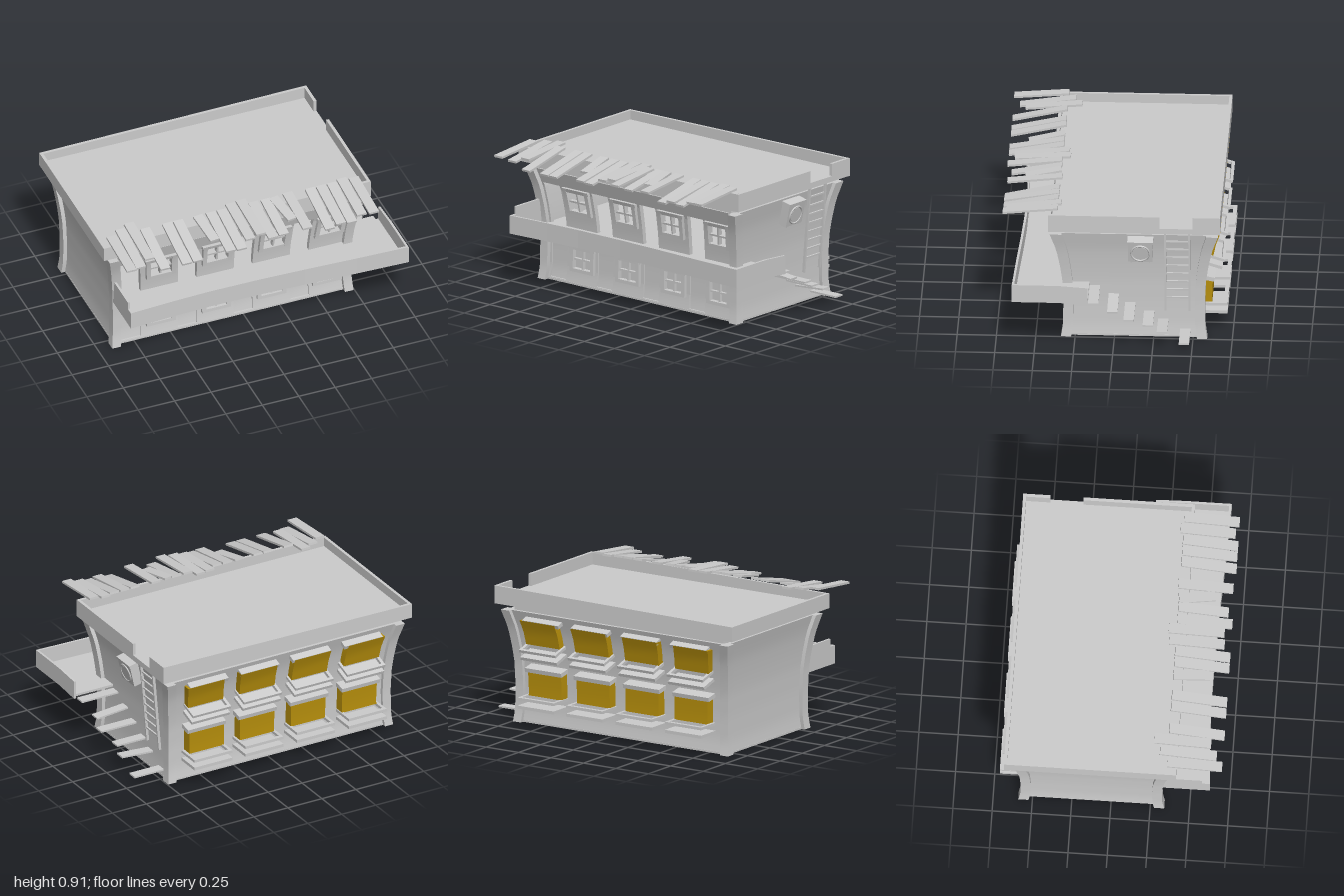
import * as THREE from 'three';
import { mergeGeometries } from 'three/addons/utils/BufferGeometryUtils.js';

const grey = new THREE.MeshStandardMaterial({ color: 0xcccccc, side: THREE.DoubleSide });
const yellow = new THREE.MeshStandardMaterial({ color: 0xb8900c });

// Outward flare of the walls at a given height
const FLARE = [[0, 0], [0.08, -0.013], [0.25, -0.015], [0.4, -0.008], [0.5, 0.006], [0.62, 0.029], [0.74, 0.07]];
function flare(y) {
  for (let i = 1; i < FLARE.length; i++) {
    const [y0, a] = FLARE[i - 1], [y1, b] = FLARE[i];
    if (y <= y1) return a + (b - a) * Math.max(0, (y - y0) / (y1 - y0));
  }
  return 0.07;
}
const CX = -0.0825, CZ = -0.125;

// Box given by its limits
function span(x0, x1, y0, y1, z0, z1, rows = 1) {
  return new THREE.BoxGeometry(x1 - x0, y1 - y0, z1 - z0, 1, rows, 1)
    .translate((x0 + x1) / 2, (y0 + y1) / 2, (z0 + z1) / 2);
}
// Box that follows the flared walls
function bent(x0, x1, y0, y1, z0, z1) {
  const g = span(x0, x1, y0, y1, z0, z1, Math.max(1, Math.ceil((y1 - y0) / 0.05)));
  const p = g.attributes.position;
  for (let i = 0; i < p.count; i++) {
    const f = flare(p.getY(i));
    p.setX(i, CX + (p.getX(i) - CX) * (1 + 0.65 * f / 0.8275));
    p.setZ(i, CZ + (p.getZ(i) - CZ) * (1 + f / 0.465));
  }
  g.computeVertexNormals();
  return g;
}
// Flat outline in x,z raised from y by h
function slab(points, y, h) {
  const s = new THREE.Shape(points.map(([x, z]) => new THREE.Vector2(x, -z)));
  return new THREE.ExtrudeGeometry(s, { depth: h, bevelEnabled: false }).rotateX(-Math.PI / 2).translate(0, y, 0);
}
// Outline in z,y given a thickness from x to x + t
function sidePanel(points, x, t) {
  const s = new THREE.Shape(points.map(([z, y]) => new THREE.Vector2(-z, y)));
  return new THREE.ExtrudeGeometry(s, { depth: t, bevelEnabled: false }).rotateY(Math.PI / 2).translate(x, 0, 0);
}

export function createModel() {
  const model = new THREE.Group();
  const add = (name, geos, mat = grey) => {
    const m = new THREE.Mesh(Array.isArray(geos) ? mergeGeometries(geos) : geos, mat);
    m.name = name;
    model.add(m);
    return m;
  };
  const L = -0.885, R = 0.72, F = 0.31, B = -0.565, T = 0.03;
  const doors = [-0.77, -0.383, 0.003, 0.39];
  const windows = [-0.57, -0.187, 0.197, 0.58];

  // Side and back walls, corner pillars, floors, neck
  add('sideWalls', [bent(L, L + T, 0, 0.74, B, F), bent(R - T, R, 0, 0.74, B, F)]);
  add('backWall', bent(L, R, 0, 0.74, B, B + T));
  const pillars = [];
  for (const x of [-0.91, 0.685]) for (const z of [-0.59, 0.275])
    pillars.push(bent(x, x + 0.06, 0, 0.74, z, z + 0.065));
  add('cornerPillars', pillars);
  add('floors', [span(L, R, 0, 0.012, B, F), span(-0.87, 0.7, 0.36, 0.375, -0.54, 0.29)]);
  add('neck', span(-0.89, 0.72, 0.735, 0.785, -0.61, 0.365));

  // Front wall in bands, leaving out door and window openings
  const wall = [];
  const band = (y0, y1, holes) => {
    let x = L;
    for (const [c, w] of [...holes, [R, 0]].sort((a, b) => a[0] - b[0])) {
      wall.push(bent(x, c - w / 2, y0, y1, F - T, F));
      x = c + w / 2;
    }
  };
  const d = doors.map(c => [c, 0.13]), w = windows.map(c => [c, 0.16]);
  band(0, 0.02, []);
  band(0.02, 0.11, d);
  band(0.11, 0.24, [...d, ...w]);
  band(0.24, 0.28, d);
  band(0.28, 0.375, []);
  band(0.375, 0.495, d);
  band(0.495, 0.62, [...d, ...w]);
  band(0.62, 0.645, d);
  band(0.645, 0.74, []);
  add('frontWall', wall);

  // Lower doors and window panes
  add('lowerDoors', doors.map(c => bent(c - 0.068, c + 0.068, 0.015, 0.283, F - 0.025, F - 0.01)));
  add('lowerPanes', windows.map(c => bent(c - 0.085, c + 0.085, 0.1, 0.25, F - 0.025, F - 0.012)));

  // Window frames with crossbars
  const frames = [];
  for (const c of windows) for (const y of [0.09, 0.475]) {
    const z0 = F - 0.02, z1 = F + 0.022;
    frames.push(
      bent(c - 0.1, c - 0.072, y, y + 0.17, z0, z1), bent(c + 0.072, c + 0.1, y, y + 0.17, z0, z1),
      bent(c - 0.1, c + 0.1, y, y + 0.022, z0, z1), bent(c - 0.105, c + 0.105, y + 0.146, y + 0.17, z0, z1),
      bent(c - 0.006, c + 0.006, y, y + 0.17, z0, z1 - 0.012), bent(c - 0.08, c + 0.08, y + 0.076, y + 0.088, z0, z1 - 0.012));
  }
  add('windowFrames', frames);

  // Balcony: floor, bowed front rail, end rails
  const edge = [[-0.9, 0.63], [-0.6, 0.612], [-0.35, 0.603], [0, 0.605], [0.3, 0.615], [0.65, 0.63], [1, 0.642]];
  add('balconyFloor', slab([[-0.9, 0.3], ...edge, [1, 0.16], [0.71, 0.16], [0.71, 0.3]], 0.36, 0.015));
  add('balconyFrontRail', slab([...edge, ...edge.map(([x, z]) => [x, z - 0.015]).reverse()], 0.36, 0.12));
  add('balconyRightRail', sidePanel([[0.3, 0.36], [0.58, 0.36], [0.58, 0.53], [0.34, 0.53], [0.3, 0.53]], -0.9, 0.015));
  add('balconyLeftRail', sidePanel([[0.16, 0.345], [0.345, 0.36], [0.64, 0.36], [0.64, 0.48], [0.345, 0.48], [0.16, 0.467]], 0.985, 0.015));
  add('balconyRightEnd', span(-0.9, -0.885, 0.36, 0.48, 0.3, 0.63));

  // Roof deck and parapet, with a gap for the ladder
  const roofY = 0.815;
  const roof = [span(-1, 0.83, 0.778, roofY, -0.675, 0.42),
    span(-1, 0.83, roofY, 0.895, 0.4, 0.42), span(-1, 0.83, roofY, 0.895, -0.675, -0.655),
    span(-1, -0.98, roofY, 0.895, -0.655, 0.4),
    span(0.81, 0.83, roofY, 0.895, -0.29, 0.4), span(0.81, 0.83, roofY, 0.895, -0.655, -0.5)];
  for (const g of roof) { // parapet sinks a little towards the right
    const p = g.attributes.position;
    for (let i = 0; i < p.count; i++) if (p.getX(i) < -0.9 && p.getY(i) > 0.85) p.setY(i, 0.875);
  }
  add('roof', roof);

  // Awning planks: x, back z, front z, front height
  const planks = [[-0.925, 0.36, 0.71, 0.88], [-0.845, 0.31, 0.67, 0.855], [-0.77, 0.27, 0.63, 0.875], [-0.695, 0.36, 0.71, 0.83],
    [-0.545, 0.36, 0.71, 0.83], [-0.47, 0.36, 0.71, 0.83], [-0.32, 0.36, 0.59, 0.865], [-0.245, 0.36, 0.71, 0.845],
    [-0.17, 0.36, 0.71, 0.84], [-0.095, 0.32, 0.67, 0.87], [-0.02, 0.31, 0.665, 0.885], [0.045, 0.36, 0.71, 0.87],
    [0.13, 0.36, 0.68, 0.85], [0.205, 0.36, 0.59, 0.88], [0.285, 0.35, 0.7, 0.87], [0.435, 0.36, 0.71, 0.83],
    [0.51, 0.36, 0.71, 0.85], [0.585, 0.36, 0.71, 0.84], [0.66, 0.34, 0.69, 0.865], [0.735, 0.36, 0.71, 0.875]];
  add('awningPlanks', planks.map(([x, z0, z1, y]) => {
    const drop = 0.908 - y;
    return new THREE.BoxGeometry(0.066, 0.014, Math.hypot(z1 - z0, drop))
      .rotateX(Math.atan2(drop, z1 - z0))
      .rotateY(z1 < 0.6 ? (x < 0 ? 0.12 : 0.18) : 0)
      .translate(x, (0.908 + y) / 2, (z0 + z1) / 2);
  }));

  // Back blinds with hoods, ledges and rails
  const blinds = [], hoods = [], ledges = [];
  for (const c of [-0.65, -0.27, 0.11, 0.485]) {
    blinds.push(bent(c - 0.128, c + 0.128, 0.53, 0.69, -0.612, -0.51), bent(c - 0.128, c + 0.128, 0.195, 0.355, -0.632, B));
    hoods.push(new THREE.BoxGeometry(0.28, 0.025, 0.08).rotateX(-0.35).translate(c, 0.695, -0.625),
      new THREE.BoxGeometry(0.28, 0.028, 0.09).rotateX(-0.2).translate(c, 0.37, -0.587));
    for (const [tilt, y, z] of [[0, 0.135, -0.55], [-0.3, 0.485, -0.555]]) {
      const set = [span(-0.14, 0.14, -0.01, 0.01, -0.165, 0), span(-0.14, 0.14, 0.045, 0.063, -0.165, -0.14),
        span(-0.14, -0.12, 0.045, 0.063, -0.15, 0), span(0.12, 0.14, 0.045, 0.063, -0.15, 0)];
      const k = tilt ? 0.8 : 1;
      for (const g of set) ledges.push(g.scale(1, 1, k).rotateX(tilt).translate(c, y, z));
    }
  }
  add('backBlinds', blinds, yellow);
  add('backHoods', hoods);
  add('backLedges', ledges);

  // Stepping planks on the side wall: z, y, outer x, tilt
  const steps = [[0.125, 0.345, 0.98, 0], [0.005, 0.28, 0.94, -0.09], [-0.1, 0.23, 0.97, 0],
    [-0.22, 0.172, 0.925, 0], [-0.31, 0.125, 0.94, 0.07], [-0.45, 0.05, 0.93, 0]];
  add('sideSteps', steps.map(([z, y, x, t]) =>
    new THREE.BoxGeometry(x - 0.69, 0.011, 0.066).rotateZ(t).translate((x + 0.69) / 2, y, z)));

  // Ladder up to the roof gap
  const lean = 0.085, ladder = [];
  for (const z of [-0.325, -0.478]) ladder.push(new THREE.BoxGeometry(0.018, 0.58, 0.012).translate(0, 0, z));
  for (let i = 0; i < 8; i++)
    ladder.push(new THREE.BoxGeometry(0.01, 0.01, 0.15).translate(0, -0.195 + i * 0.0586, -0.4));
  add('ladder', ladder.map(g => g.rotateZ(-lean).translate(0.768, 0.49, 0)));

  // Cooling unit with round fan and brackets
  const unit = [span(-0.03, 0.03, -0.075, 0.07, -0.077, 0.077), span(-0.032, 0.036, 0.07, 0.085, -0.082, 0.082),
    new THREE.TorusGeometry(0.058, 0.006, 8, 24).rotateY(Math.PI / 2).translate(0.031, -0.005, 0),
    new THREE.CylinderGeometry(0.05, 0.05, 0.006, 24).rotateZ(Math.PI / 2).translate(0.031, -0.005, 0)];
  for (const z of [-0.058, 0.058]) unit.push(span(-0.06, 0.02, -0.088, -0.075, z - 0.004, z + 0.004));
  const cooler = add('coolingUnit', unit);
  cooler.position.set(0.78, 0.64, -0.167);
  cooler.rotation.z = -0.22;

  return model;
}
